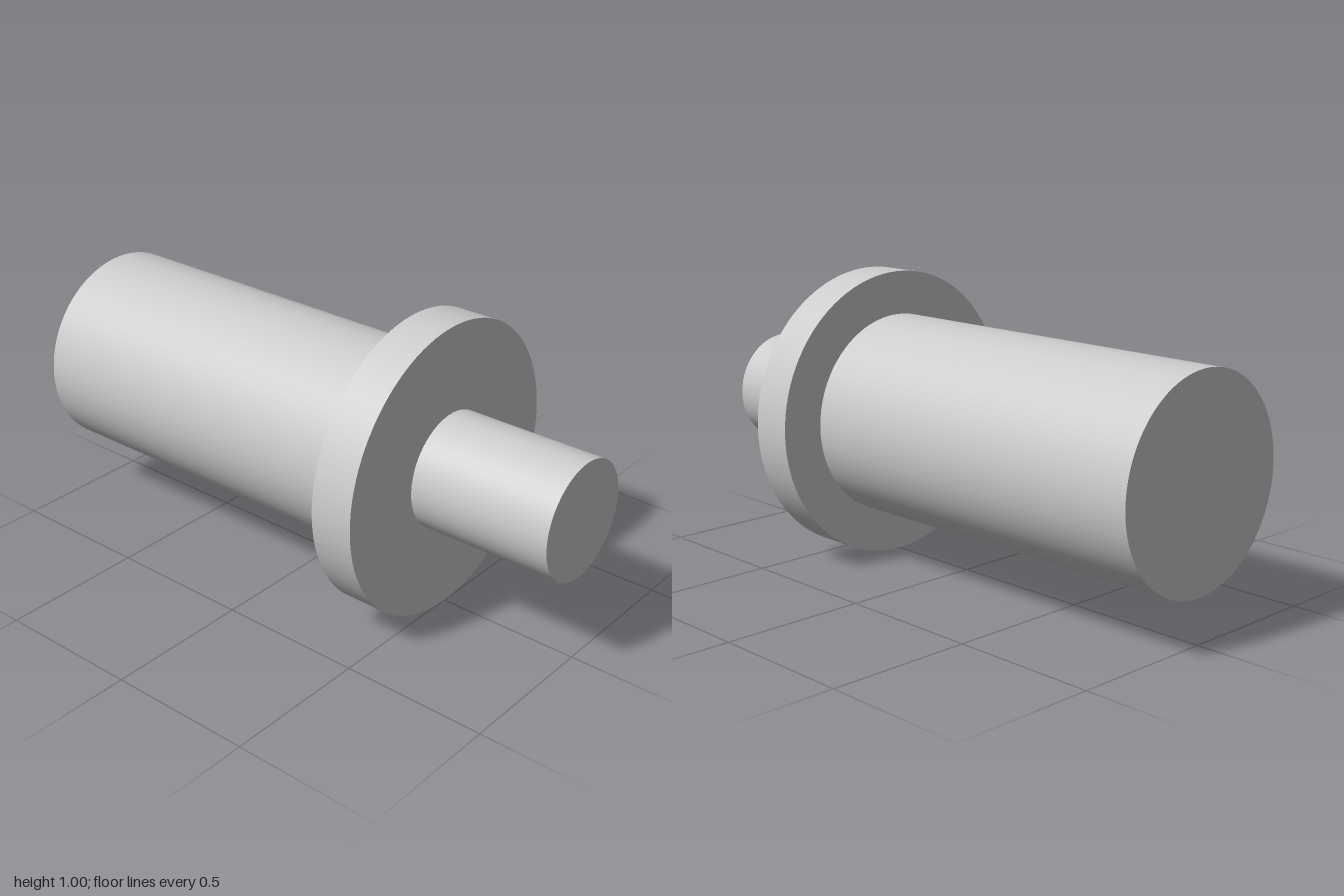
import * as THREE from 'three';

const SEGMENTS = 96;
const AXIS_HEIGHT = 0.5;

export function createModel() {
  const model = new THREE.Group();
  model.name = 'steppedShaft';
  const metal = new THREE.MeshStandardMaterial({ color: 0xcccccc });
  metal.name = 'light grey metal';

  // Round wall running along x
  function wall(name, radius, x0, x1) {
    const geometry = new THREE.CylinderGeometry(radius, radius, x1 - x0, SEGMENTS, 1, true);
    geometry.rotateZ(-Math.PI / 2);
    add(name, geometry, (x0 + x1) / 2);
  }

  // Flat disc or ring facing +x (side 1) or -x (side -1)
  function face(name, inner, outer, x, side) {
    const geometry = inner > 0
      ? new THREE.RingGeometry(inner, outer, SEGMENTS)
      : new THREE.CircleGeometry(outer, SEGMENTS);
    geometry.rotateY(side * Math.PI / 2);
    add(name, geometry, x);
  }

  function add(name, geometry, x) {
    const mesh = new THREE.Mesh(geometry, metal);
    mesh.name = name;
    mesh.position.set(x, AXIS_HEIGHT, 0);
    model.add(mesh);
  }

  // Thick shaft
  face('shaftEnd', 0, 0.35, -1, -1);
  wall('shaft', 0.35, -1, 0.35);

  // Flange collar
  face('flangeShaftSide', 0.35, 0.5, 0.35, -1);
  wall('flange', 0.5, 0.35, 0.5);
  face('flangePinSide', 0.2, 0.5, 0.5, 1);

  // Thin pin
  wall('pin', 0.2, 0.5, 1);
  face('pinEnd', 0, 0.2, 1, 1);

  return model;
}
